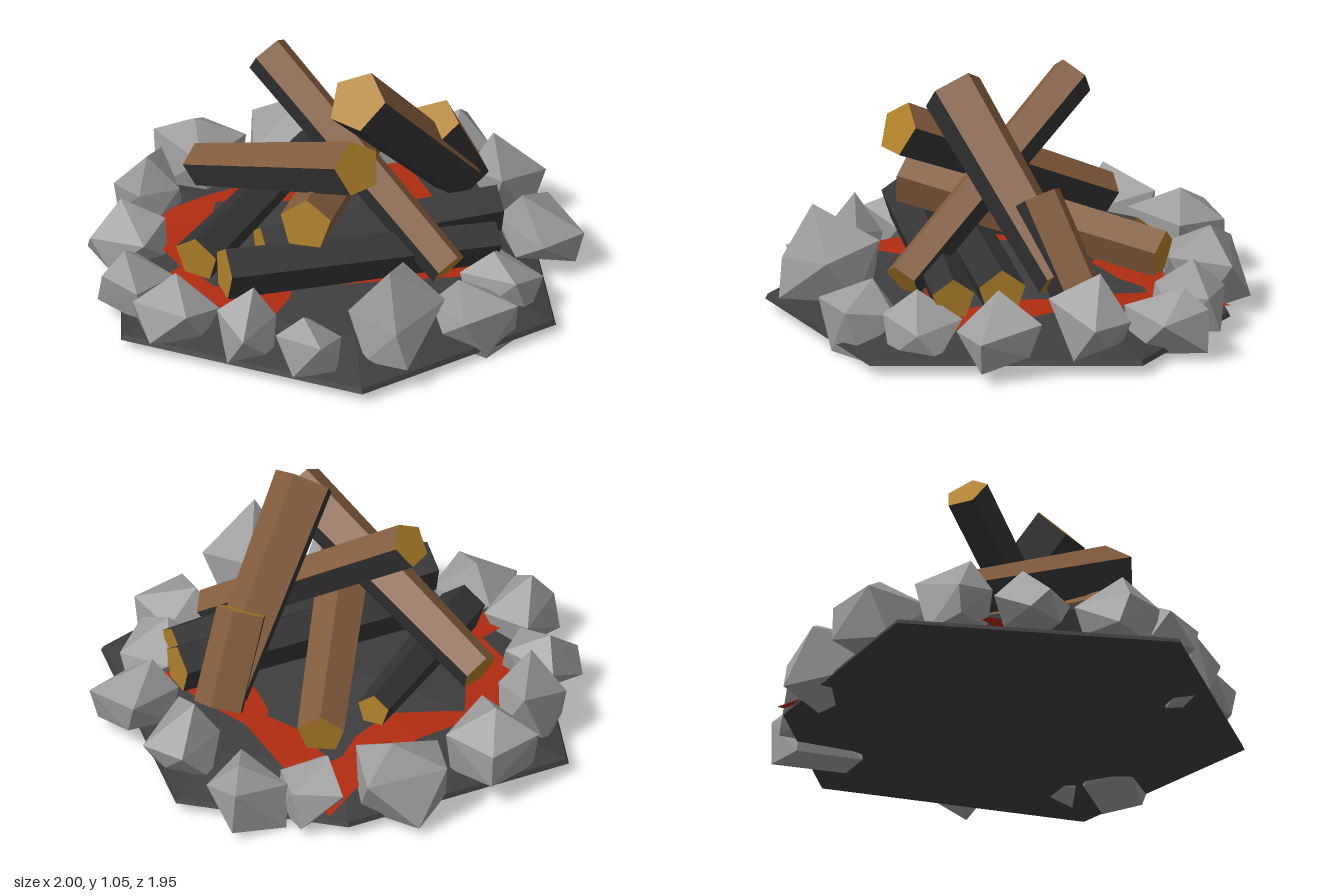
import * as THREE from 'three';
import { ConvexGeometry } from 'three/addons/geometries/ConvexGeometry.js';

const mat = (color, side = THREE.FrontSide) =>
  new THREE.MeshStandardMaterial({ color, flatShading: true, roughness: 0.9, side });

const bark = mat(0x835c3d);
const char = mat(0x343434);
const cutWood = mat(0xb08029);
const glow = mat(0xb02c10, THREE.DoubleSide);
const soil = mat(0x3e3e3e);
const stone = mat(0x9c9c9c);

let seed = 11;
const rand = (min, max) => {
  seed = (seed * 16807) % 2147483647;
  return min + (max - min) * seed / 2147483647;
};

function addMesh(parent, name, geometry, material) {
  const mesh = new THREE.Mesh(geometry, material);
  mesh.name = name;
  parent.add(mesh);
}

// Cone-like surface: concentric copies of an outline, then a centre point
function moundGeometry(outline, rings, centreY, closed) {
  const pos = [], idx = [], n = outline.length;
  for (const [scale, height] of rings)
    for (const [x, z] of outline)
      pos.push(x * scale, height(Math.hypot(x, z)), z * scale);
  for (let r = 0; r < rings.length - 1; r++)
    for (let i = 0; i < n; i++) {
      const a = r * n + i, b = r * n + (i + 1) % n;
      idx.push(a, b, a + n, b, b + n, a + n);
    }
  const top = pos.length / 3, last = (rings.length - 1) * n;
  pos.push(0, centreY, 0);
  for (let i = 0; i < n; i++) idx.push(last + i, last + (i + 1) % n, top);
  if (closed) {
    pos.push(0, pos[1], 0);
    for (let i = 0; i < n; i++) idx.push((i + 1) % n, i, top + 1);
  }
  const g = new THREE.BufferGeometry();
  g.setAttribute('position', new THREE.Float32BufferAttribute(pos, 3));
  g.setIndex(idx);
  const flat = g.toNonIndexed();
  flat.computeVertexNormals();
  return flat;
}

// Five-sided log with a ridge on top; faces pointing below `limit` take the second material
function addLog(parent, name, from, to, rFrom, rTo, upper, under, limit = -0.1) {
  const a = new THREE.Vector3(...from), b = new THREE.Vector3(...to);
  const along = b.clone().sub(a);
  const base = new THREE.CylinderGeometry(rTo, rFrom, along.length(), 5);
  const sideCount = base.groups[0].count;
  const g = base.toNonIndexed();
  along.normalize();
  const across = along.clone().cross(new THREE.Vector3(0, 1, 0)).normalize();
  const ridge = across.clone().cross(along);
  const mid = a.add(b).multiplyScalar(0.5);
  g.applyMatrix4(new THREE.Matrix4().makeBasis(across, along, ridge).setPosition(mid));
  g.computeVertexNormals();
  g.clearGroups();
  const normal = g.attributes.normal;
  for (let i = 0; i < normal.count; i += 3)
    g.addGroup(i, 3, i >= sideCount ? 2 : normal.getY(i) < limit ? 1 : 0);
  addMesh(parent, name, g, [upper, under, cutWood]);
}

// Rough stone: jittered foot, shoulder and peak, stretched to fill a given box
function addStone(parent, [x0, x1, z0, z1, y0, y1]) {
  const points = [];
  const corners = (count, rMin, rMax, yMin, yMax) => {
    const turn = rand(0, 6.28);
    for (let i = 0; i < count; i++) {
      const t = turn + (i + rand(-0.2, 0.2)) * 2 * Math.PI / count, r = rand(rMin, rMax);
      points.push(new THREE.Vector3(r * Math.cos(t), rand(yMin, yMax), r * Math.sin(t)));
    }
  };
  corners(4, 0.7, 1, -1, -0.6);
  corners(4, 0.85, 1.1, -0.1, 0.5);
  corners(1, 0.1, 0.4, 1, 1);
  const box = new THREE.Box3().setFromPoints(points);
  const size = box.getSize(new THREE.Vector3());
  for (const p of points) {
    p.sub(box.min).divide(size);
    p.set(x0 + p.x * (x1 - x0), y0 + p.y * (y1 - y0), z0 + p.z * (z1 - z0));
  }
  addMesh(parent, 'ringStone', new ConvexGeometry(points), stone);
}

export function createModel() {
  const model = new THREE.Group();
  model.name = 'campfire';

  // Ash bed: six-cornered low mound
  const bed = [[0.05, 0.97], [0.86, 0.48], [0.77, -0.62], [0.12, -0.92], [-0.84, -0.66], [-0.9, 0.5]];
  const bedRings = [[1, () => 0.04], [0.99, () => 0.06], [0.7, () => 0.13]];
  addMesh(model, 'ashBed', moundGeometry(bed, bedRings, 0.2, true), soil);

  // Glowing embers: ragged star lying on the mound
  const star = [
    [-0.36, 0.66], [-0.28, 0.34], [0.1, 0.33], [0.5, 0.27], [0.7, 0.2], [0.56, -0.1], [0.42, -0.3],
    [0.34, -0.55], [0.2, -0.93], [0, -0.72], [-0.25, -0.52], [-0.5, -0.42], [-0.8, -0.27],
    [-0.64, 0.12], [-0.83, 0.27], [-0.55, 0.35]];
  addMesh(model, 'embers', moundGeometry(star, [[1, r => 0.208 - 0.1 * r]], 0.17, false), glow);

  // Logs leaning together
  const logs = new THREE.Group();
  logs.name = 'logs';
  model.add(logs);
  addLog(logs, 'leaningLog', [-0.53, 0.33, -0.36], [0.06, 0.78, 0.43], 0.09, 0.115, bark, char);
  addLog(logs, 'leaningLog', [0.5, 0.31, -0.27], [0.07, 0.96, 0.21], 0.11, 0.13, bark, char);
  addLog(logs, 'leaningLog', [0.43, 0.26, 0.38], [-0.27, 0.92, -0.25], 0.085, 0.095, bark, char);
  addLog(logs, 'shortLog', [0.53, 0.28, -0.33], [0.4, 0.62, -0.16], 0.11, 0.11, bark, char);
  // Lower log lit from beneath
  addLog(logs, 'glowingLog', [0.18, 0.32, -0.65], [-0.15, 0.51, 0.42], 0.1, 0.11, bark, glow, -0.6);
  // Charred logs lying on the embers
  addLog(logs, 'charredLog', [-0.48, 0.31, 0.44], [0.63, 0.25, 0.16], 0.11, 0.09, char, char);
  addLog(logs, 'charredLog', [-0.32, 0.28, 0.22], [0.65, 0.29, -0.04], 0.1, 0.1, char, char);
  addLog(logs, 'charredLog', [-0.58, 0.24, 0.22], [-0.06, 0.32, -0.53], 0.1, 0.07, char, char);

  // Ring of stones: x range, z range, y range
  const ring = new THREE.Group();
  ring.name = 'stoneRing';
  model.add(ring);
  [
    [-0.31, 0.05, -0.98, -0.61, 0.03, 0.36],
    [-0.70, -0.33, -0.85, -0.45, 0.05, 0.36],
    [-0.88, -0.60, -0.55, -0.25, 0.05, 0.39],
    [-1.00, -0.68, -0.26, 0.07, 0.07, 0.31],
    [-0.98, -0.67, 0.08, 0.43, 0.06, 0.32],
    [-0.85, -0.50, 0.30, 0.63, 0.06, 0.30],
    [-0.52, -0.28, 0.53, 0.77, 0.03, 0.36],
    [-0.29, -0.02, 0.60, 0.90, 0.06, 0.27],
    [0.01, 0.40, 0.49, 0.90, 0.08, 0.49],
    [0.35, 0.70, 0.40, 0.72, 0.00, 0.28],
    [0.48, 0.82, 0.12, 0.44, 0.03, 0.29],
    [0.65, 1.00, -0.22, 0.13, 0.05, 0.34],
    [0.55, 0.87, -0.57, -0.23, 0.06, 0.39],
    [0.34, 0.66, -0.87, -0.52, 0.00, 0.30],
    [0.12, 0.37, -0.90, -0.60, 0.04, 0.30],
  ].forEach(box => addStone(ring, box));

  return model;
}
